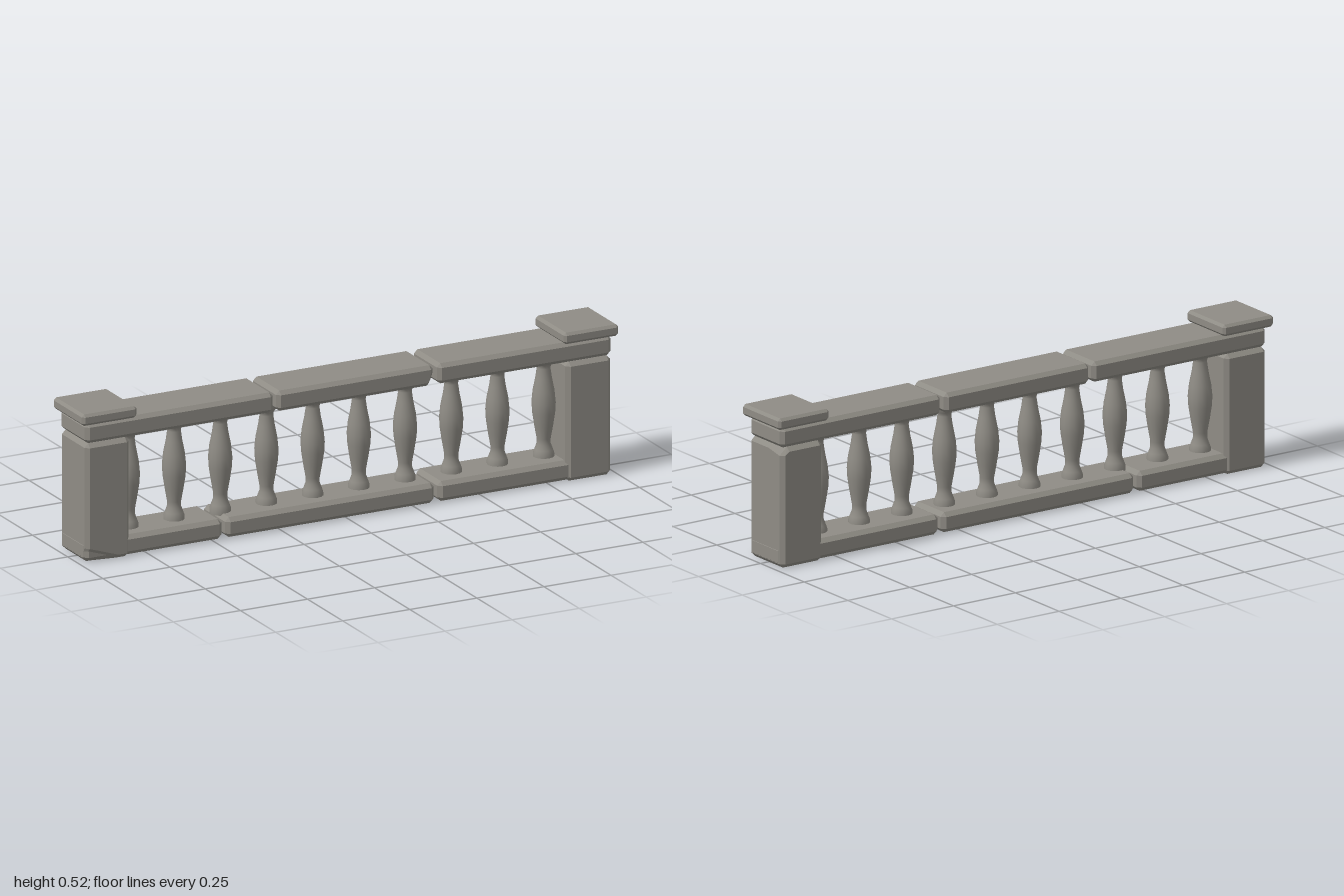
import * as THREE from 'three';
import { ConvexGeometry } from 'three/addons/geometries/ConvexGeometry.js';

const stone = new THREE.MeshStandardMaterial({ color: 0x8f8c85 });

// Block with bevelled edges; chips cut single corners off: { corner: [sx, sy, sz], depth: [dx, dy, dz] }
function block(name, [x0, x1], [y0, y1], [z0, z1], bevel, chips = []) {
  const hx = (x1 - x0) / 2, hy = (y1 - y0) / 2, hz = (z1 - z0) / 2, c = bevel;
  const points = [];
  for (const sx of [-1, 1]) for (const sy of [-1, 1]) for (const sz of [-1, 1]) {
    const add = (x, y, z) => points.push(new THREE.Vector3(sx * x, sy * y, sz * z));
    const chip = chips.find(({ corner: k }) => k[0] === sx && k[1] === sy && k[2] === sz);
    if (chip) {
      const [dx, dy, dz] = chip.depth;
      add(hx - dx, hy, hz - c); add(hx - dx, hy - c, hz);
      add(hx, hy - dy, hz - c); add(hx - c, hy - dy, hz);
      add(hx, hy - c, hz - dz); add(hx - c, hy, hz - dz);
    } else {
      add(hx, hy - c, hz - c); add(hx - c, hy, hz - c); add(hx - c, hy - c, hz);
    }
  }
  const mesh = new THREE.Mesh(new ConvexGeometry(points), stone);
  mesh.position.set((x0 + x1) / 2, (y0 + y1) / 2, (z0 + z1) / 2);
  mesh.name = name;
  return mesh;
}

export function createModel() {
  const model = new THREE.Group();
  model.name = 'balustrade';

  // End posts, each with one chipped corner
  model.add(
    block('rightPost', [-0.98, -0.815], [0, 0.415], [-0.094, 0.094], 0.014,
      [{ corner: [-1, -1, 1], depth: [0.12, 0.05, 0.03] }]),
    block('leftPost', [0.812, 0.98], [0, 0.415], [-0.094, 0.094], 0.014,
      [{ corner: [1, 1, -1], depth: [0.03, 0.026, 0.075] }]));

  // Square caps over the posts
  for (const s of [-1, 1]) {
    model.add(block(s < 0 ? 'rightCap' : 'leftCap',
      [s * 0.898 - 0.102, s * 0.898 + 0.102], [0.485, 0.525], [-0.108, 0.108], 0.009));
  }

  // Handrail and plinth stones, with narrow joints between them
  const handrail = new THREE.Group();
  handrail.name = 'handrail';
  const railChips = [
    [],
    [{ corner: [1, -1, 1], depth: [0.022, 0.045, 0.03] }],
    [],
  ];
  [[-0.98, -0.279], [-0.267, 0.318], [0.333, 0.98]].forEach((span, i) =>
    handrail.add(block('handrailStone', span, [0.416, 0.486], [-0.094, 0.094], 0.013, railChips[i])));
  const plinth = new THREE.Group();
  plinth.name = 'plinth';
  for (const span of [[-0.981, -0.466], [-0.453, 0.325], [0.338, 0.981]])
    plinth.add(block('plinthStone', span, [0.003, 0.072], [-0.088, 0.088], 0.014));
  model.add(handrail, plinth);

  // Turned balusters
  const profile = [
    [0.036, 0.065], [0.036, 0.082], [0.031, 0.096], [0.024, 0.115], [0.024, 0.135],
    [0.032, 0.18], [0.039, 0.225], [0.041, 0.26], [0.037, 0.3], [0.028, 0.345],
    [0.023, 0.38], [0.025, 0.392], [0.034, 0.403], [0.036, 0.425],
  ].map(([r, y]) => new THREE.Vector2(r, y));
  const turned = new THREE.LatheGeometry(profile, 14);
  const balusters = new THREE.Group();
  balusters.name = 'balusters';
  for (let i = 0; i < 10; i++) {
    const baluster = new THREE.Mesh(turned, stone);
    baluster.name = 'baluster';
    baluster.position.x = -0.776 + i * 0.1722;
    balusters.add(baluster);
  }
  model.add(balusters);
  return model;
}
